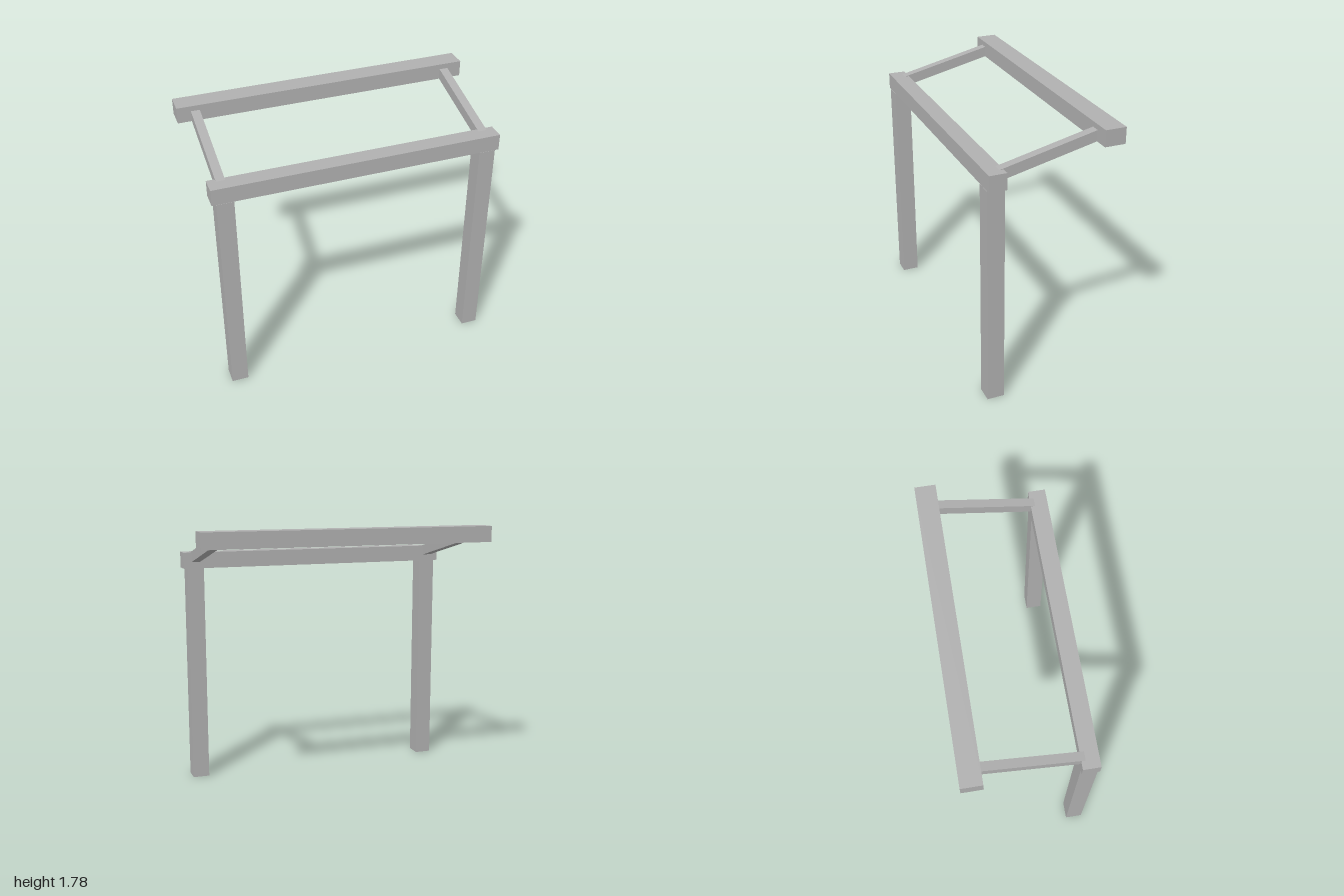
import * as THREE from 'three';

export function createModel() {
  const model = new THREE.Group();
  const grey = new THREE.MeshStandardMaterial({ color: 0xb0b0b0 });
  grey.name = 'grey';

  // Box placed by its minimum and maximum corners
  function beam(name, min, max) {
    const size = max.map((v, i) => v - min[i]);
    const mesh = new THREE.Mesh(new THREE.BoxGeometry(...size), grey);
    mesh.position.set(...max.map((v, i) => (v + min[i]) / 2));
    mesh.name = name;
    model.add(mesh);
  }

  // Horizontal beams
  beam('frontBeam', [-0.963, 1.493, 0.312], [0.957, 1.602, 0.426]);
  beam('rearBeam', [-1, 1.677, -0.428], [1, 1.785, -0.29]);

  // Side outline of a sloping rafter as [z, y], its ends buried in the beams
  const outline = [[0.34, 1.53], [0.34, 1.602], [-0.3, 1.752], [-0.3, 1.68]];
  const shape = new THREE.Shape(outline.map(([z, y]) => new THREE.Vector2(-z, y)));
  const rafterWidth = 0.059;
  const rafterGeometry = new THREE.ExtrudeGeometry(shape, { depth: rafterWidth, bevelEnabled: false });
  rafterGeometry.translate(0, 0, -rafterWidth / 2);
  rafterGeometry.rotateY(Math.PI / 2);

  // Posts and rafters on both sides
  for (const [side, postX, rafterX] of [['right', -0.879, -0.879], ['left', 0.874, 0.874]]) {
    beam(side + 'Post', [postX - 0.056, 0, 0.314], [postX + 0.056, 1.493, 0.428]);
    const rafter = new THREE.Mesh(rafterGeometry, grey);
    rafter.position.x = rafterX;
    rafter.name = side + 'Rafter';
    model.add(rafter);
  }

  return model;
}
